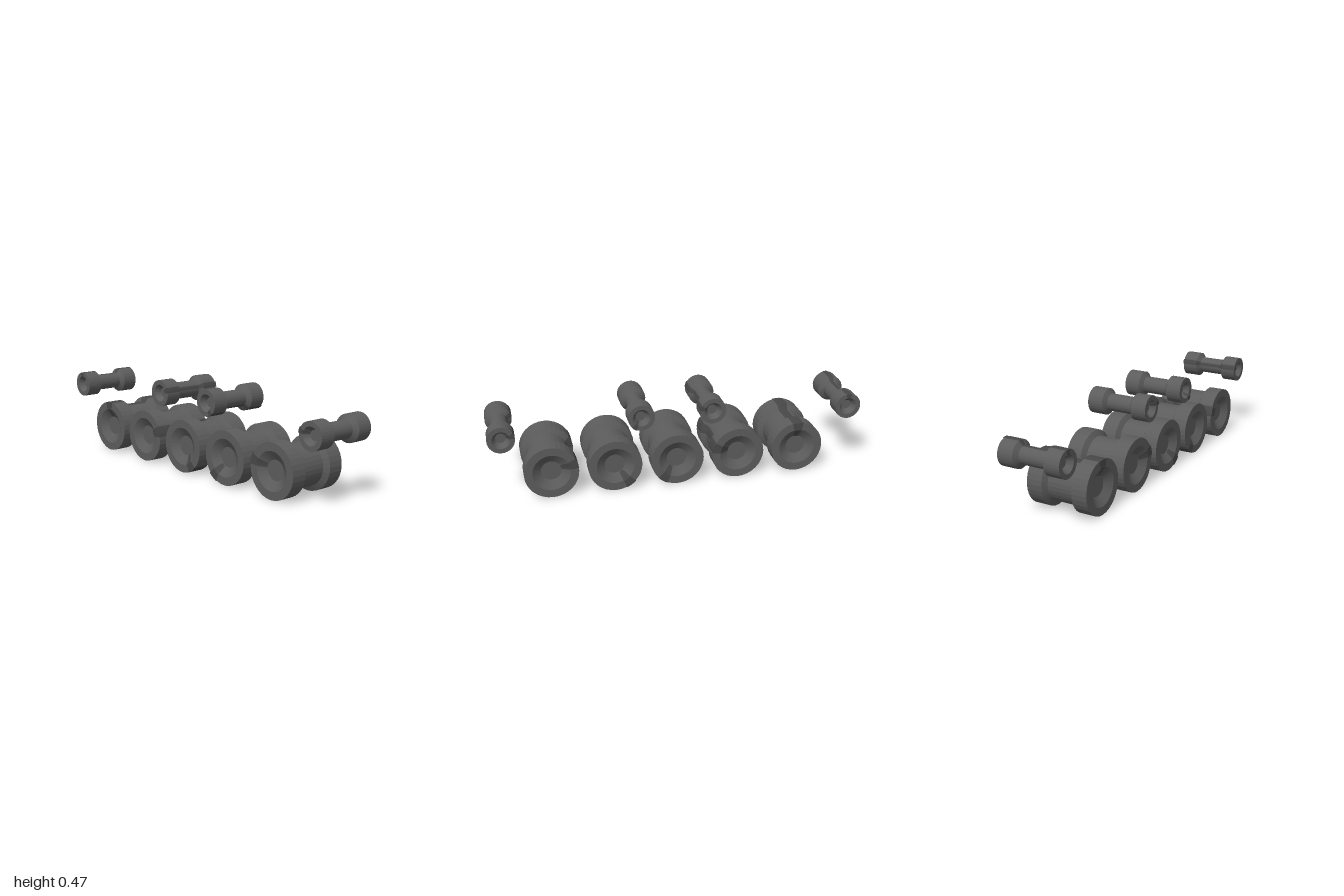
import * as THREE from 'three';

const wheelMaterial = new THREE.MeshStandardMaterial({ color: 0x5c5c5c, flatShading: true });
const markMaterial = new THREE.MeshStandardMaterial({ color: 0x484848, flatShading: true, side: THREE.DoubleSide });

const SIDES = 32;
const MARK_ANGLE = Math.PI / 7.5;

// Spool outline from the back hub disc, over both rims, to the front hub disc.
// grow pushes the outline outwards for the raised marker strip.
function spoolProfile({ rim, lip, hub, axle }, grow = 0) {
  const face = 0.171 + grow * 8;
  const front = [
    [axle, 0.069], [rim, 0.086], [rim, face], [lip, face], [hub, face - 0.03],
  ].map(([r, z]) => new THREE.Vector2(r + grow, z));
  const back = front.map((p) => new THREE.Vector2(p.x, -p.y)).reverse();
  return [...back, ...front];
}

function makeWheel(name, size, x, y, angle) {
  const wheel = new THREE.Group();
  wheel.name = name;

  // Spool body, closed by a hub disc in each recess
  const outline = spoolProfile(size);
  const discZ = outline[outline.length - 1].y;
  const points = [new THREE.Vector2(0, -discZ), ...outline, new THREE.Vector2(0, discZ)];
  const body = new THREE.Mesh(new THREE.LatheGeometry(points, SIDES).rotateX(Math.PI / 2), wheelMaterial);
  body.name = 'spool';

  // Narrow raised strip that follows the outline on one side of the wheel
  const start = angle + Math.PI / 2 - MARK_ANGLE / 2;
  const strip = new THREE.LatheGeometry(spoolProfile(size, 0.0006), 3, start, MARK_ANGLE);
  const mark = new THREE.Mesh(strip.rotateX(Math.PI / 2), markMaterial);
  mark.name = 'markerStrip';

  wheel.add(body, mark);
  wheel.position.set(x, y, 0);
  return wheel;
}

export function createModel() {
  const model = new THREE.Group();
  model.name = 'trackWheels';

  const road = { rim: 0.1425, lip: 0.1, hub: 0.053, axle: 0.1135 };
  const roller = { rim: 0.0705, lip: 0.046, hub: 0.026, axle: 0.0455 };
  const turn = (step) => Math.PI / 2 - step * Math.PI * 0.4;

  // Five large road wheels, each turned a fifth further than the last
  for (let i = 0; i < 5; i++) {
    model.add(makeWheel(`roadWheel${i + 1}`, road, -0.648 + i * 0.334, 0.1445, turn(i)));
  }

  // Four small rollers: two outer ones and two higher inner ones
  [[-0.9295, 0.358, 0], [-0.171, 0.406, 1], [0.211, 0.406, 2], [0.9295, 0.358, 4]].forEach(([x, y, step], i) => {
    model.add(makeWheel(`returnRoller${i + 1}`, roller, x, y, turn(step)));
  });

  return model;
}
